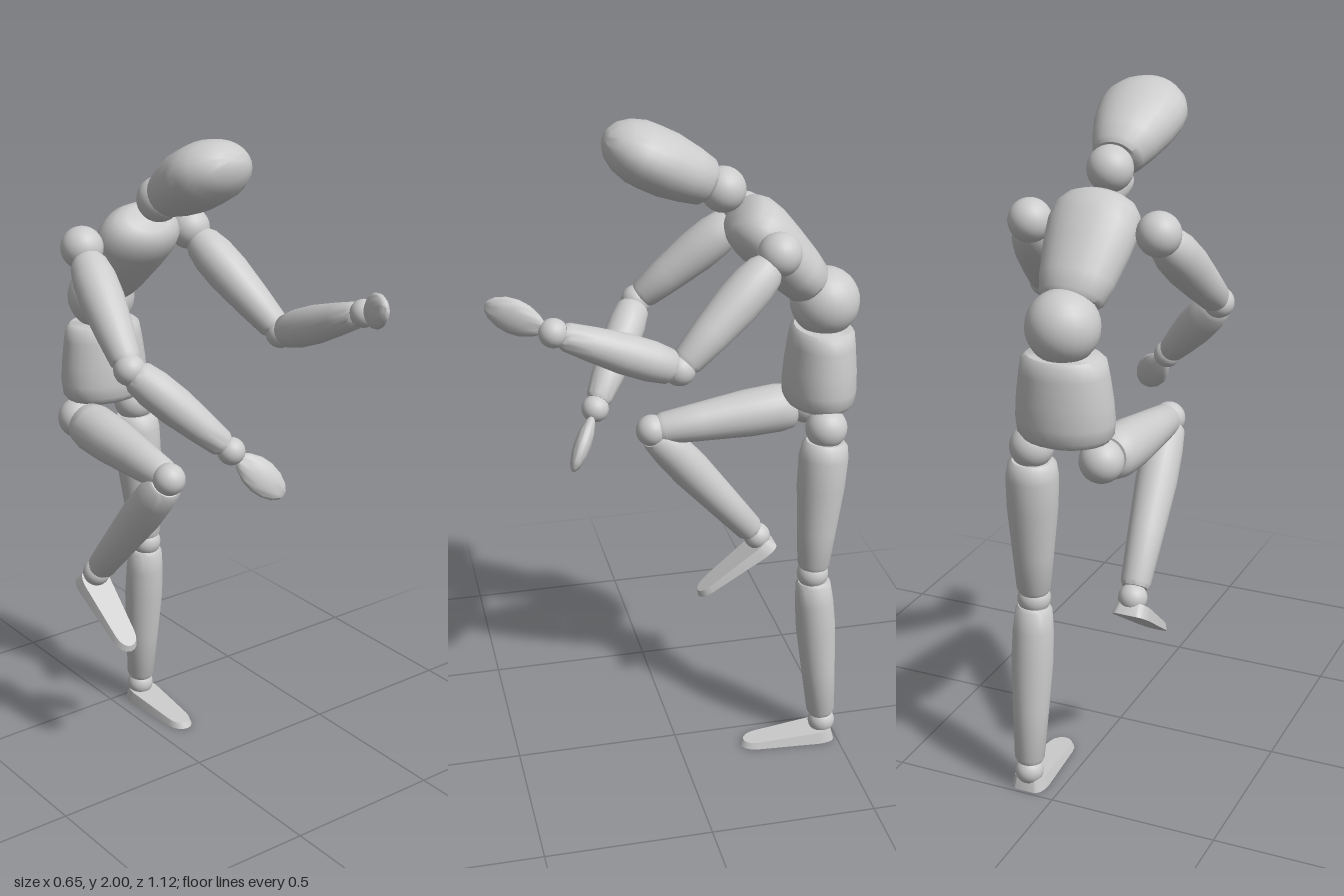
import * as THREE from 'three';
import { toCreasedNormals } from 'three/addons/utils/BufferGeometryUtils.js';

const material = new THREE.MeshStandardMaterial({ color: 0xcccccc });
const V = (x, y, z) => new THREE.Vector3(x, y, z);

// Profiles: [fraction along the axis, radius]
const THIGH = [[0, 0], [0, 0.056], [0.03, 0.068], [0.12, 0.074], [0.35, 0.072], [0.7, 0.059], [0.97, 0.049], [1, 0.043], [1, 0]];
const SHIN = [[0, 0], [0, 0.046], [0.02, 0.053], [0.15, 0.059], [0.35, 0.061], [0.65, 0.053], [0.97, 0.044], [1, 0.037], [1, 0]];
const UPPER_ARM = [[0, 0], [0, 0.042], [0.06, 0.054], [0.2, 0.063], [0.4, 0.064], [0.7, 0.055], [0.96, 0.045], [1, 0.038], [1, 0]];
const FOREARM = [[0, 0], [0, 0.04], [0.04, 0.049], [0.2, 0.056], [0.45, 0.056], [0.75, 0.047], [0.96, 0.039], [1, 0.032], [1, 0]];
const HAND = [[0, 0], [0, 0.018], [0.1, 0.031], [0.3, 0.046], [0.5, 0.05], [0.7, 0.045], [0.87, 0.032], [0.96, 0.017], [1, 0]];
const CHEST = [[0, 0], [0, 0.078], [0.04, 0.092], [0.2, 0.106], [0.5, 0.123], [0.72, 0.13], [0.86, 0.122], [0.95, 0.1], [1, 0.07], [1, 0]];
const PELVIS = [[0, 0], [0, 0.105], [0.03, 0.124], [0.1, 0.137], [0.25, 0.141], [0.5, 0.137], [0.8, 0.127], [0.95, 0.12], [1, 0.106], [1, 0]];
const HEAD = [[0, 0], [0, 0.06], [0.04, 0.075], [0.2, 0.095], [0.4, 0.117], [0.58, 0.128], [0.7, 0.126], [0.82, 0.108], [0.92, 0.077], [0.98, 0.038], [1, 0]];

// Turned part running from a to b; wide is the broad axis, d0..d1 the depth ratio along it
function turned(name, a, b, profile, { wide = V(1, 0, 0), d0 = 1, d1 = d0, trimA = 0, trimB = 0 } = {}) {
  const dir = b.clone().sub(a).normalize();
  const start = a.clone().addScaledVector(dir, trimA);
  const length = a.distanceTo(b) - trimA - trimB;
  const geo = new THREE.LatheGeometry(profile.map(([t, r]) => new THREE.Vector2(r, t * length)), 24);
  const p = geo.attributes.position;
  for (let i = 0; i < p.count; i++) {
    const t = Math.min(1, p.getY(i) / (length * 0.6));
    p.setZ(i, p.getZ(i) * THREE.MathUtils.lerp(d0, d1, t));
  }
  const mesh = new THREE.Mesh(toCreasedNormals(geo, 0.75), material);
  const x = wide.clone().addScaledVector(dir, -wide.dot(dir)).normalize();
  mesh.matrix.makeBasis(x, dir, x.clone().cross(dir));
  mesh.quaternion.setFromRotationMatrix(mesh.matrix);
  mesh.position.copy(start);
  mesh.name = name;
  return mesh;
}

function ball(name, center, radius) {
  const mesh = new THREE.Mesh(new THREE.SphereGeometry(radius, 24, 16), material);
  mesh.position.copy(center);
  mesh.name = name;
  return mesh;
}

// Flat wedge foot: broad heel at the origin, narrow rounded toe along +z
function foot(name, position, pitch) {
  const s = new THREE.Shape();
  s.moveTo(-0.03, 0);
  s.lineTo(0.03, 0);
  s.quadraticCurveTo(0.052, 0.005, 0.054, 0.05);
  s.lineTo(0.04, 0.25);
  s.bezierCurveTo(0.036, 0.315, -0.036, 0.315, -0.04, 0.25);
  s.lineTo(-0.054, 0.05);
  s.quadraticCurveTo(-0.052, 0.005, -0.03, 0);
  const geo = new THREE.ExtrudeGeometry(s, { depth: 1, bevelEnabled: false, curveSegments: 8 });
  geo.rotateX(Math.PI / 2).translate(0, 1, 0);
  const p = geo.attributes.position;
  for (let i = 0; i < p.count; i++) {
    const top = p.getY(i), z = p.getZ(i);
    p.setXYZ(i, p.getX(i) * (1 - 0.14 * top), top * (0.04 - 0.075 * z), z + top * 0.01 * (1 - z / 0.15));
  }
  const mesh = new THREE.Mesh(toCreasedNormals(geo, 0.6), material);
  mesh.position.copy(position);
  mesh.rotation.x = pitch;
  mesh.name = name;
  return mesh;
}

function leg(side, hip, knee, ankle, heel, pitch) {
  const g = new THREE.Group();
  g.name = side + 'Leg';
  g.add(
    ball('hipJoint', hip, 0.062),
    turned('thigh', hip, knee, THIGH, { trimA: 0.04, trimB: 0.023 }),
    ball('kneeJoint', knee, 0.048),
    turned('shin', knee, ankle, SHIN, { trimA: 0.023, trimB: 0.03 }),
    ball('ankleJoint', ankle, 0.042),
    foot('foot', heel, pitch)
  );
  return g;
}

function arm(side, shoulder, elbow, wrist, tip, wide) {
  const g = new THREE.Group();
  g.name = side + 'Arm';
  g.add(
    ball('shoulderJoint', shoulder, 0.062),
    turned('upperArm', shoulder, elbow, UPPER_ARM, { trimA: 0.04, trimB: 0.02 }),
    ball('elbowJoint', elbow, 0.045),
    turned('forearm', elbow, wrist, FOREARM, { trimA: 0.02, trimB: 0.025 }),
    ball('wristJoint', wrist, 0.04),
    turned('hand', wrist, tip, HAND, { wide, d0: 0.5, trimA: 0.03 })
  );
  return g;
}

export function createModel() {
  const model = new THREE.Group();
  model.name = 'poseableFigure';
  const cx = -0.032;

  // Head and trunk
  model.add(
    turned('head', V(cx, 1.81, -0.105), V(cx, 1.96, 0.19), HEAD, { d0: 0.92, d1: 0.69 }),
    ball('neckJoint', V(cx, 1.79, -0.145), 0.065),
    turned('chest', V(cx, 1.488, -0.408), V(cx, 1.725, -0.195), CHEST, { d0: 0.78, d1: 0.7 }),
    ball('waistJoint', V(cx, 1.434, -0.454), 0.102),
    turned('pelvis', V(cx, 1.115, -0.444), V(cx, 1.357, -0.45), PELVIS, { d0: 0.77 })
  );

  // Standing left leg and raised right leg
  model.add(
    leg('left', V(0.073, 1.075, -0.44), V(0.09, 0.597, -0.41), V(0.093, 0.055, -0.457), V(0.095, 0, -0.49), 0),
    leg('right', V(-0.135, 1.065, -0.44), V(-0.137, 1.02, 0.04), V(-0.17, 0.6, -0.305), V(-0.173, 0.572, -0.363), 0.595)
  );

  // Left arm reaches forward, right arm crosses the front
  model.add(
    arm('left', V(0.156, 1.655, -0.258), V(0.263, 1.388, 0.047), V(0.274, 1.53, 0.39), V(0.2, 1.597, 0.56), V(0, 1, 0)),
    arm('right', V(-0.222, 1.655, -0.258), V(-0.279, 1.387, 0.055), V(-0.055, 1.148, 0.225), V(0.065, 1.01, 0.315), V(0.75, 0.65, 0))
  );
  return model;
}
